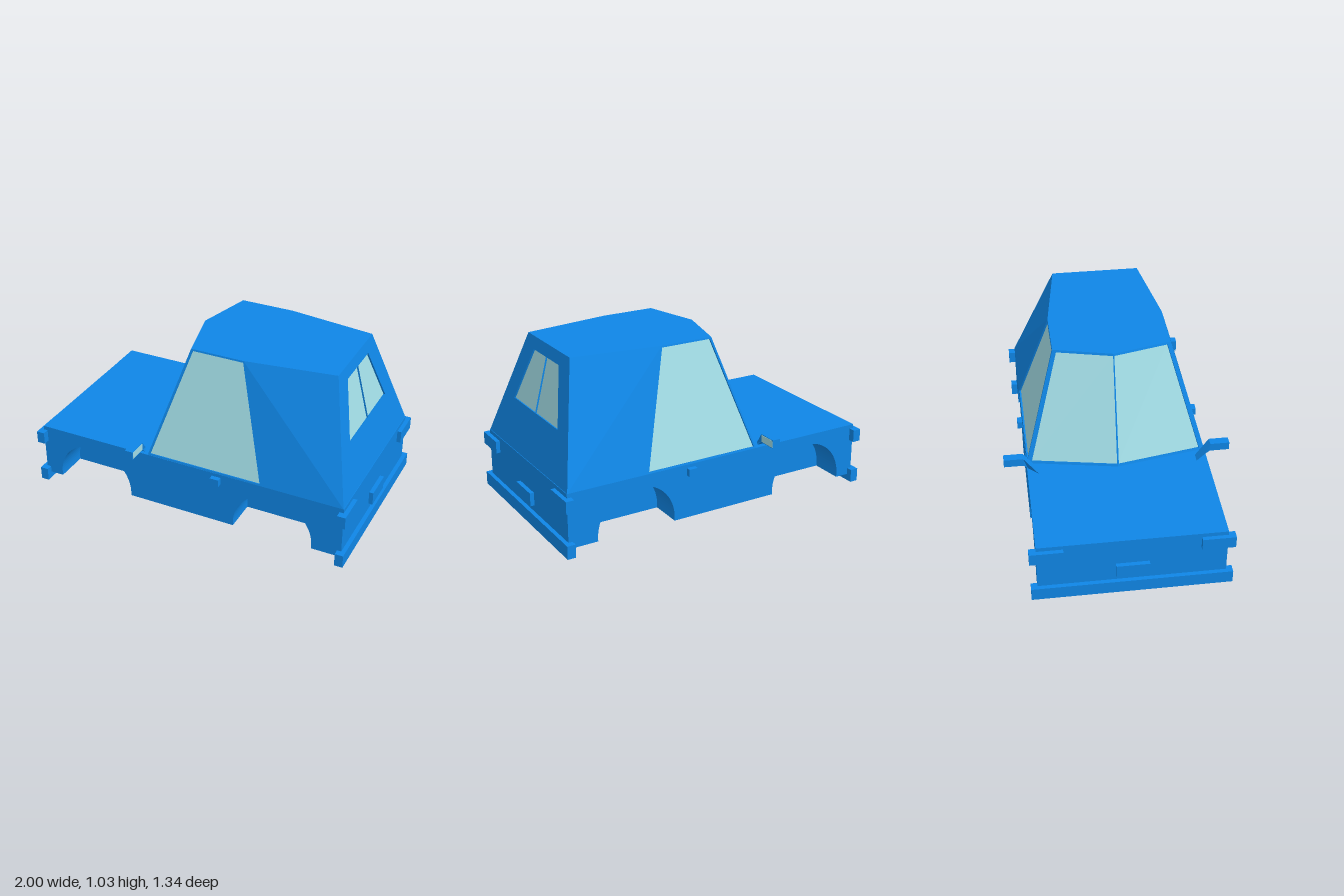
import * as THREE from 'three';

const paint = new THREE.MeshStandardMaterial({ color: 0x0f86e6, flatShading: true, side: THREE.DoubleSide });
const glass = new THREE.MeshStandardMaterial({ color: 0xa2dde6, flatShading: true, side: THREE.DoubleSide });
const V = (x, y, z) => new THREE.Vector3(x, y, z);
const CABIN_CENTRE = V(0.25, 0.65, 0);

function add(group, name, geometry, material = paint) {
  const mesh = new THREE.Mesh(geometry, material);
  mesh.name = name;
  group.add(mesh);
  return mesh;
}

// Box given by its lower and upper corners
function block(group, name, [x0, y0, z0], [x1, y1, z1], material) {
  const g = new THREE.BoxGeometry(x1 - x0, y1 - y0, z1 - z0);
  g.translate((x0 + x1) / 2, (y0 + y1) / 2, (z0 + z1) / 2);
  return add(group, name, g, material);
}

// Convex polygons, each turned to face away from a centre point
function faces(polygons, centre = CABIN_CENTRE) {
  const pos = [];
  for (const poly of polygons) {
    const n = poly[1].clone().sub(poly[0]).cross(poly[2].clone().sub(poly[0]));
    const p = n.dot(poly[0].clone().sub(centre)) < 0 ? [...poly].reverse() : poly;
    for (let i = 1; i < p.length - 1; i++) {
      for (const v of [p[0], p[i], p[i + 1]]) pos.push(v.x, v.y, v.z);
    }
  }
  const g = new THREE.BufferGeometry();
  g.setAttribute('position', new THREE.Float32BufferAttribute(pos, 3));
  g.computeVertexNormals();
  return g;
}

// Wall panel (corners: two at the base, two at the roof) with a recessed pane
function windowPanel(group, name, corners, uv, depth = 0.01) {
  const [a, b, c, d] = corners;
  const opening = uv.map(([u, v]) => a.clone().lerp(b, u).lerp(d.clone().lerp(c, u), v));
  const n = b.clone().sub(a).cross(d.clone().sub(a)).normalize();
  if (n.dot(a.clone().sub(CABIN_CENTRE)) > 0) n.negate();
  const pane = opening.map((p) => p.clone().addScaledVector(n, depth));
  const frame = [];
  for (let i = 0; i < 4; i++) {
    const j = (i + 1) % 4;
    frame.push([corners[i], corners[j], opening[j], opening[i]]);
    frame.push([opening[i], opening[j], pane[j], pane[i]]);
  }
  add(group, name + 'Frame', faces(frame));
  add(group, name + 'Glass', faces([pane]), glass);
  return { opening, pane };
}

function createCabin() {
  const cabin = new THREE.Group();
  cabin.name = 'cabin';
  const Y0 = 0.37, Y1 = 1.03;
  // Outline of one half, front to back: [x, z]
  const baseLine = [[-0.35, 0], [-0.25, 0.533], [0.475, 0.535], [0.972, 0.535]];
  const roofLine = [[-0.135, 0], [-0.05, 0.345], [0.275, 0.345], [0.805, 0.27]];
  const at = (line, y, s) => line.map(([x, z]) => V(x, y, z * s));

  for (const s of [1, -1]) {
    const side = s > 0 ? 'left' : 'right';
    const b = at(baseLine, Y0, s), r = at(roofLine, Y1, s);
    windowPanel(cabin, side + 'Windscreen', [b[0], b[1], r[1], r[0]],
      [[0.01, 0.02], [0.95, 0.02], [0.93, 0.98], [0.01, 0.98]]);
    windowPanel(cabin, side + 'SideWindow', [b[1], b[2], r[2], r[1]],
      [[0.015, 0.015], [0.995, 0.015], [0.99, 0.985], [0.04, 0.985]]);
    add(cabin, side + 'RearQuarter', faces([[b[2], b[3], r[2]], [b[3], r[3], r[2]]]));
  }

  const bl = at(baseLine, Y0, 1), br = at(baseLine, Y0, -1);
  const rl = at(roofLine, Y1, 1), rr = at(roofLine, Y1, -1);
  const rear = windowPanel(cabin, 'rearWindow', [bl[3], br[3], rr[3], rl[3]],
    [[0.154, 0.41], [0.846, 0.41], [0.777, 0.894], [0.223, 0.894]]);

  // Thin upright fin between the rear panes
  const mid = (q, i, j) => q[i].clone().lerp(q[j], 0.5);
  const { opening: o, pane: p } = rear;
  add(cabin, 'rearWindowDivider',
    faces([[mid(o, 0, 1), mid(o, 2, 3), mid(p, 2, 3), mid(p, 0, 1)]]));

  add(cabin, 'roof', faces([[...rl, ...rr.slice(1).reverse()]]));
  return cabin;
}

function createBody() {
  const body = new THREE.Group();
  body.name = 'body';
  const bottom = 0.04, top = 0.37, end = 0.975, R = 0.245, axle = 0.065;

  // Side slabs with wheel arches cut from below
  const outline = new THREE.Shape();
  outline.moveTo(-end, bottom);
  for (const x of [-0.62, 0.55]) {
    outline.lineTo(x - R, bottom);
    outline.lineTo(x - R, axle);
    outline.absarc(x, axle, R, Math.PI, 0, true);
    outline.lineTo(x + R, bottom);
  }
  outline.lineTo(end, bottom);
  outline.lineTo(end, top);
  outline.lineTo(-end, top);
  for (const [name, z] of [['leftArches', 0.335], ['rightArches', -0.535]]) {
    const g = new THREE.ExtrudeGeometry(outline, { depth: 0.2, bevelEnabled: false, curveSegments: 20 });
    add(body, name, g.translate(0, 0, z));
  }
  block(body, 'centreBody', [-end, bottom, -0.335], [end, top, 0.335]);
  return body;
}

function createMirror(s) {
  const mirror = new THREE.Group();
  mirror.name = s > 0 ? 'leftMirror' : 'rightMirror';
  // Arm as a slanted prism from the cabin foot to the head
  const root = [V(-0.355, 0.37, 0.47), V(-0.3, 0.37, 0.47), V(-0.265, 0.385, 0.53), V(-0.315, 0.385, 0.53)];
  const tip = [V(-0.32, 0.46, 0.555), V(-0.27, 0.46, 0.555), V(-0.27, 0.41, 0.555), V(-0.32, 0.41, 0.555)];
  const polys = [root, tip];
  for (let i = 0; i < 4; i++) {
    const j = (i + 1) % 4;
    polys.push([root[i], root[j], tip[j]], [root[i], tip[j], tip[i]]);
  }
  const flip = (v) => V(v.x, v.y, v.z * s);
  add(mirror, 'mirrorArm', faces(polys.map((q) => q.map(flip)), V(-0.305, 0.41, 0.525 * s)));
  const z0 = s > 0 ? 0.555 : -0.67;
  block(mirror, 'mirrorHead', [-0.32, 0.41, z0], [-0.27, 0.46, z0 + 0.115]);
  block(mirror, 'mirrorGlass', [-0.272, 0.414, z0 + 0.004], [-0.268, 0.456, z0 + 0.111], glass);
  return mirror;
}

export function createModel() {
  const car = new THREE.Group();
  car.name = 'car';
  car.add(createBody(), createCabin());

  // Bumpers, lamps and plates at both ends
  for (const e of [-1, 1]) {
    const end = e < 0 ? 'front' : 'rear';
    const x0 = e < 0 ? -1 : 0.95;
    block(car, end + 'Bumper', [x0, 0, -0.572], [x0 + 0.05, 0.08, 0.572]);
    block(car, end + 'Plate', [e < 0 ? -1 : 0.96, 0.12, -0.095], [e < 0 ? -0.96 : 1, 0.2, 0.095]);
    for (const z0 of [-0.575, 0.385]) {
      block(car, end + 'Lamp', [x0, 0.27, z0], [x0 + 0.05, 0.345, z0 + 0.19]);
    }
  }

  // Door handles and mirrors on both sides
  for (const s of [-1, 1]) {
    const z0 = s > 0 ? 0.525 : -0.565;
    block(car, 'doorHandle', [0.17, 0.305, z0], [0.225, 0.35, z0 + 0.04]);
    car.add(createMirror(s));
  }
  return car;
}
